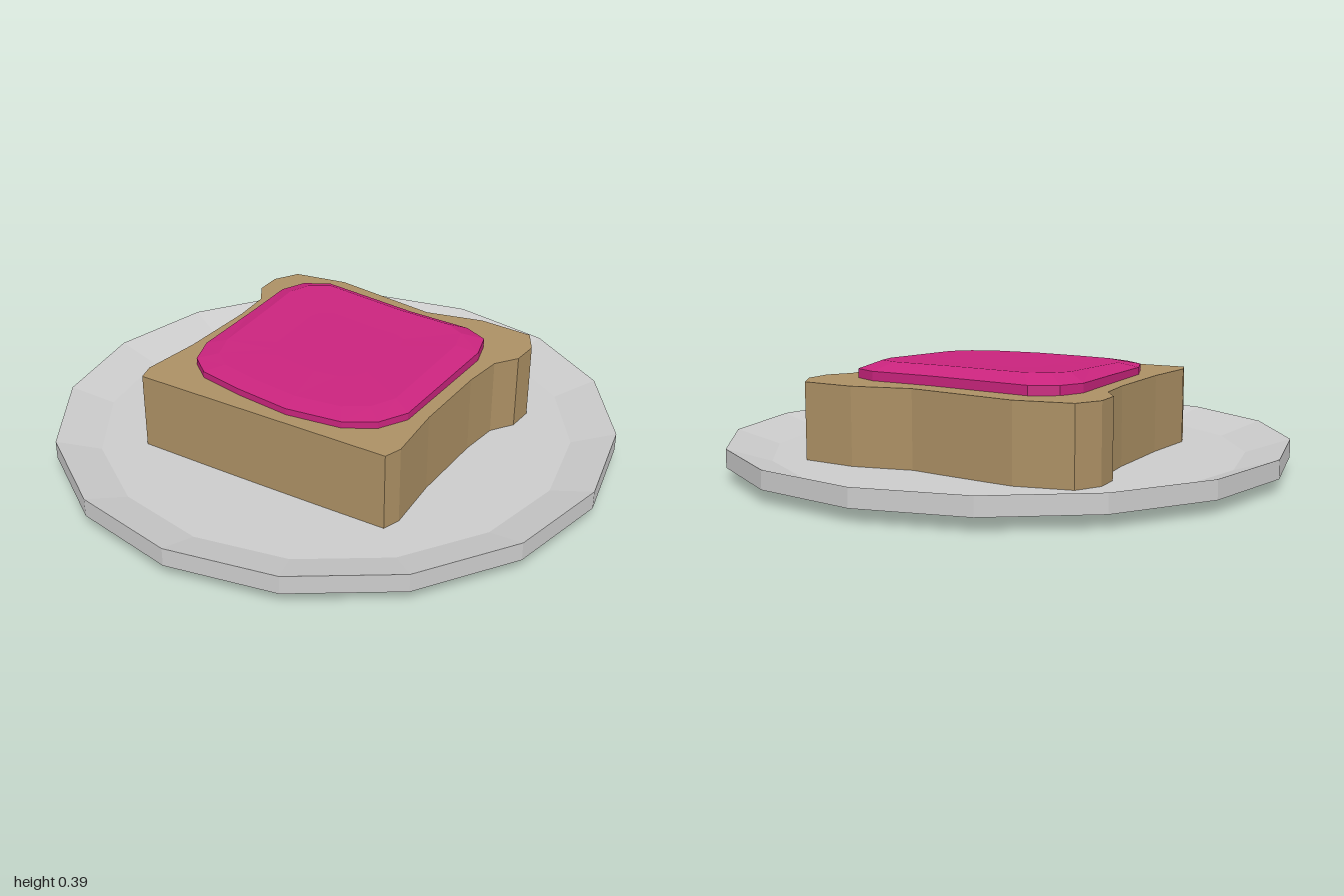
import * as THREE from 'three';

const material = (color) => new THREE.MeshStandardMaterial({ color, flatShading: true });

function part(name, geometry, color) {
  const mesh = new THREE.Mesh(geometry, material(color));
  mesh.name = name;
  return mesh;
}

// Shallow sixteen-sided plate
function plateGeometry() {
  const profile = [[0, 0], [0.45, 0], [1, 0.045], [1, 0.11], [0.845, 0.06], [0.45, 0.055], [0, 0.055]];
  return new THREE.LatheGeometry(profile.map(([r, y]) => new THREE.Vector2(r, y)), 16);
}

// Bread slice: mirrored sides, uneven back crust
function breadGeometry() {
  const side = [[0.51, -0.52], [0.56, -0.43], [0.555, -0.33], [0.5, -0.25], [0.485, -0.1],
    [0.485, 0.2], [0.505, 0.42], [0.485, 0.482]];
  const back = [[-0.31, -0.553], [0.1, -0.487], [0.31, -0.535]];
  const outline = [...back, ...side, ...side.map(([x, z]) => [-x, z]).reverse()];
  const shape = new THREE.Shape(outline.map(([x, z]) => new THREE.Vector2(x, -z)));
  return new THREE.ExtrudeGeometry(shape, { depth: 0.275, bevelEnabled: false })
    .rotateX(-Math.PI / 2).translate(0, 0.055, 0);
}

// Jam: rings of one outline, stepped inwards to a domed, back-heavy top
function jamGeometry() {
  const outline = [[-0.44, -0.31], [-0.4, -0.4], [-0.31, -0.45], [0.08, -0.4], [0.32, -0.39],
    [0.41, -0.345], [0.44, -0.24], [0.435, 0.25], [0.38, 0.35], [0.28, 0.41], [0.08, 0.435],
    [-0.13, 0.41], [-0.3, 0.375], [-0.38, 0.31], [-0.42, 0.2], [-0.43, -0.1]];
  const rings = [
    { scale: 1, height: () => 0.325 },
    { scale: 1, height: (z) => 0.358 - 0.012 * z },
    { scale: 0.84, height: (z) => 0.379 - 0.04 * z },
    { scale: 0.45, height: (z) => 0.377 - 0.03 * z },
  ];
  const n = outline.length;
  const positions = [];
  const index = [];
  rings.forEach(({ scale, height }) => outline.forEach(([x, z]) =>
    positions.push(x * scale, height(z * scale), z * scale)));
  positions.push(0, 0.377, 0);
  for (let i = 0; i < n; i++) {
    const j = (i + 1) % n;
    for (let r = 0; r < rings.length - 1; r++) {
      const a = r * n + i, b = r * n + j;
      index.push(a, a + n, b, b, a + n, b + n);
    }
    const last = (rings.length - 1) * n;
    index.push(last + i, rings.length * n, last + j);
  }
  const geometry = new THREE.BufferGeometry();
  geometry.setAttribute('position', new THREE.Float32BufferAttribute(positions, 3));
  geometry.setIndex(index);
  geometry.computeVertexNormals();
  return geometry;
}

export function createModel() {
  const group = new THREE.Group();
  group.name = 'jamToastOnPlate';
  group.add(
    part('plate', plateGeometry(), 0xcccccc),
    part('breadSlice', breadGeometry(), 0xac9064),
    part('jam', jamGeometry(), 0xc9247d),
  );
  return group;
}
